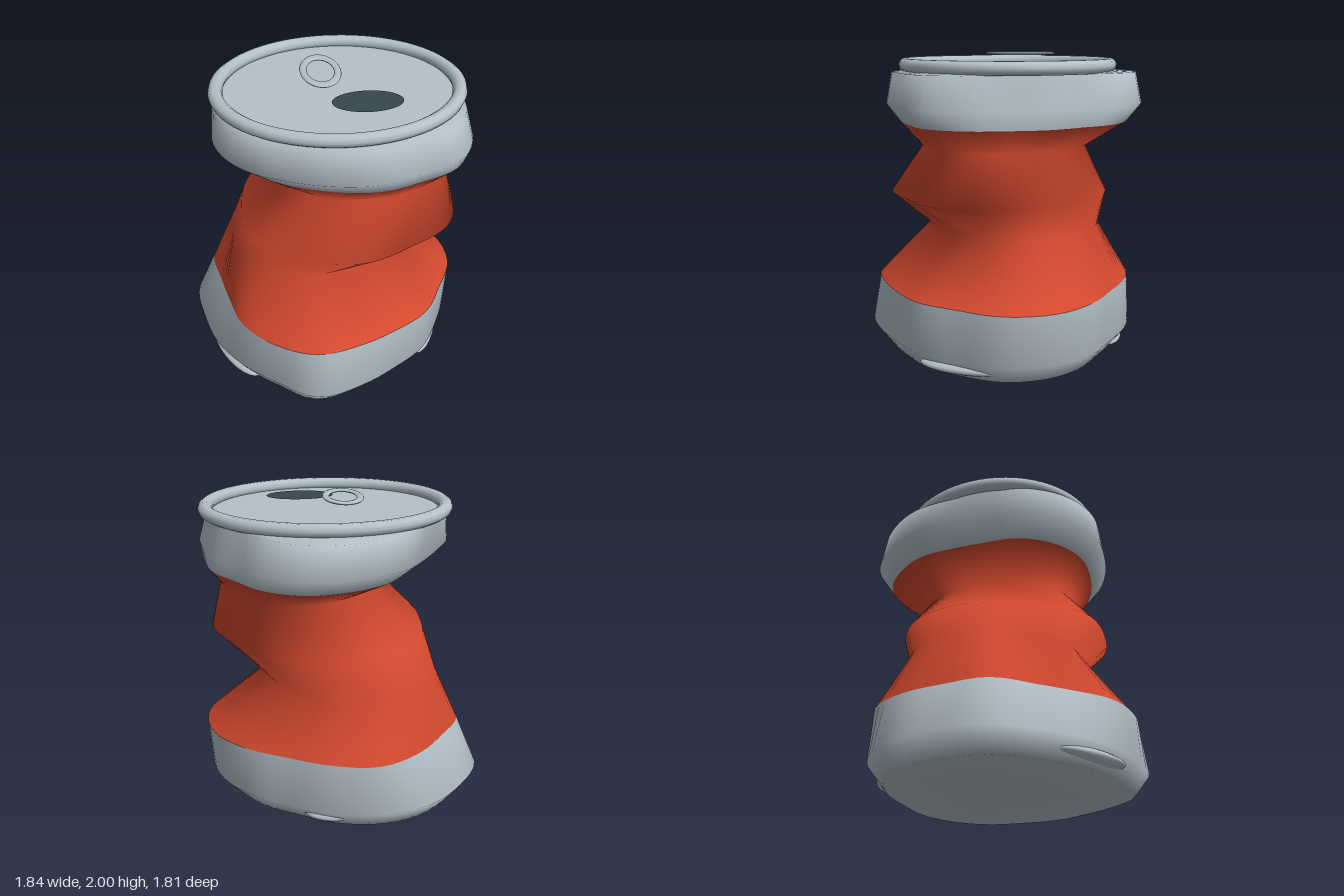
import * as THREE from 'three';

const SEG = 72;
const metal = new THREE.MeshStandardMaterial({ color: 0xb4c1c9, side: THREE.DoubleSide });
const red = new THREE.MeshStandardMaterial({ color: 0xd4492f, side: THREE.DoubleSide });
const dark = new THREE.MeshStandardMaterial({ color: 0x37474f });

// Radii at even angles around each crushed ring, from +x towards +z
const FOOT = [.89, .83, .82, .80, .84, .907, .835, .83, .85, .885, .975, .966, .965, .925, .87, .83, .87, .90];
const BASE_TOP = [.91, .83, .82, .785, .80, .85, .825, .79, .73, .74, .83, .815, .86, .90, .85, .82, .87, .925];
const SHOULDER = [.80, .865, .885, .81, .797, .775, .78, .82, .83, .80, .73, .73, .79, .83, .867, .83, .765, .785];
const LOW_FOLD = [.565, .54, .52, .58, .58, .62, .56, .60, .62, .57, .58, .58];
const MID_FOLD = [.71, .74, .68, .72, .72, .76, .70, .72, .74, .70, .66, .64];
const HIGH_FOLD = [.52, .54, .52, .52, .56, .58, .50, .46, .50, .52, .50, .47];
const ROUND = [0.76];

// Smooth periodic radius through the listed values
function radiusAt(list, t) {
  const n = list.length, f = t * n, i = Math.floor(f), u = f - i;
  const [a, b, c, d] = [-1, 0, 1, 2].map(k => list[(i + k + n) % n]);
  return b + 0.5 * u * (c - a + u * (2 * a - 5 * b + 4 * c - d + u * (3 * (b - c) + d - a)));
}

const ring = (y, cx, cz, list, sx = 1, sz = sx) => ({ y, cx, cz, list, sx, sz });

// Skin stacked crumpled rings, optionally closing the first one with a flat cap
function loft(rings, capped = false) {
  const pos = [], idx = [];
  for (const { y, cx, cz, list, sx, sz } of rings) {
    for (let j = 0; j < SEG; j++) {
      const a = j / SEG * Math.PI * 2, r = radiusAt(list, j / SEG);
      pos.push(cx + Math.cos(a) * r * sx, y, cz + Math.sin(a) * r * sz);
    }
  }
  for (let i = 0; i < rings.length - 1; i++) {
    for (let j = 0; j < SEG; j++) {
      const a = i * SEG + j, b = i * SEG + (j + 1) % SEG;
      idx.push(a, a + SEG, b, b, a + SEG, b + SEG);
    }
  }
  if (capped) {
    const centre = pos.length / 3;
    pos.push(rings[0].cx, rings[0].y, rings[0].cz);
    for (let j = 0; j < SEG; j++) idx.push(centre, j, (j + 1) % SEG);
  }
  const g = new THREE.BufferGeometry();
  g.setAttribute('position', new THREE.Float32BufferAttribute(pos, 3));
  g.setIndex(idx);
  g.computeVertexNormals();
  return g;
}

export function createModel() {
  const can = new THREE.Group();
  can.name = 'crushedCan';
  const add = (name, geometry, material, x = 0, y = 0, z = 0) => {
    const m = new THREE.Mesh(geometry, material);
    m.name = name;
    m.position.set(x, y, z);
    can.add(m);
    return m;
  };

  // Rings shared by neighbouring parts
  const baseTop = ring(0.475, 0, 0, BASE_TOP);
  const shoulderFoot = ring(1.57, 0.15, -0.05, SHOULDER, 0.905, 0.88);

  // Bare metal base with flat bottom
  add('base', loft([
    ring(0, -0.02, 0, FOOT, 0.88),
    ring(0.14, 0, 0, FOOT),
    baseTop,
  ], true), metal);

  // Painted wall with crushed folds
  add('crushedBody', loft([
    baseTop,
    ring(0.84, -0.065, -0.1, LOW_FOLD),
    ring(1.10, 0.14, 0, MID_FOLD),
    ring(1.42, 0.26, -0.02, HIGH_FOLD),
    shoulderFoot,
  ]), red);

  // Metal shoulder, turned in under the rim
  add('shoulder', loft([
    shoulderFoot,
    ring(1.68, 0.09, -0.05, SHOULDER),
    ring(1.88, 0.07, -0.05, SHOULDER, 0.955),
    ring(1.89, 0.09, -0.045, ROUND, 1, 0.87),
  ]), metal);

  // Rolled rim and sunken lid panel
  const rim = new THREE.TorusGeometry(0.765, 0.046, 10, SEG).rotateX(Math.PI / 2);
  add('rim', rim, metal, 0.09, 1.922, -0.045).scale.set(1, 0.93, 0.87);
  const disc = new THREE.CircleGeometry(1, 64).rotateX(-Math.PI / 2);
  add('lid', disc, metal, 0.09, 1.9, -0.045).scale.set(0.76, 1, 0.66);

  // Drinking hole and pull ring
  add('opening', disc, dark, 0.24, 1.935, 0.2).scale.set(0.22, 1, 0.135);
  const tab = new THREE.TorusGeometry(0.108, 0.0225, 10, 48).rotateX(Math.PI / 2);
  add('pullTab', tab, metal, -0.01, 1.99, -0.13).scale.set(1, 0.44, 1.77);

  // Shallow bulges along the foot: angle, distance, half depth, half length
  const bump = new THREE.SphereGeometry(1, 24, 12);
  [[19, 0.72, 0.1, 0.3], [154, 0.73, 0.11, 0.3], [280, 0.74, 0.1, 0.18]].forEach(([deg, r, depth, len]) => {
    const a = THREE.MathUtils.degToRad(deg);
    const m = add('footBulge', bump, metal, Math.cos(a) * r, 0.075, Math.sin(a) * r);
    m.scale.set(depth, 0.045, len);
    m.rotation.y = -a;
  });

  return can;
}
